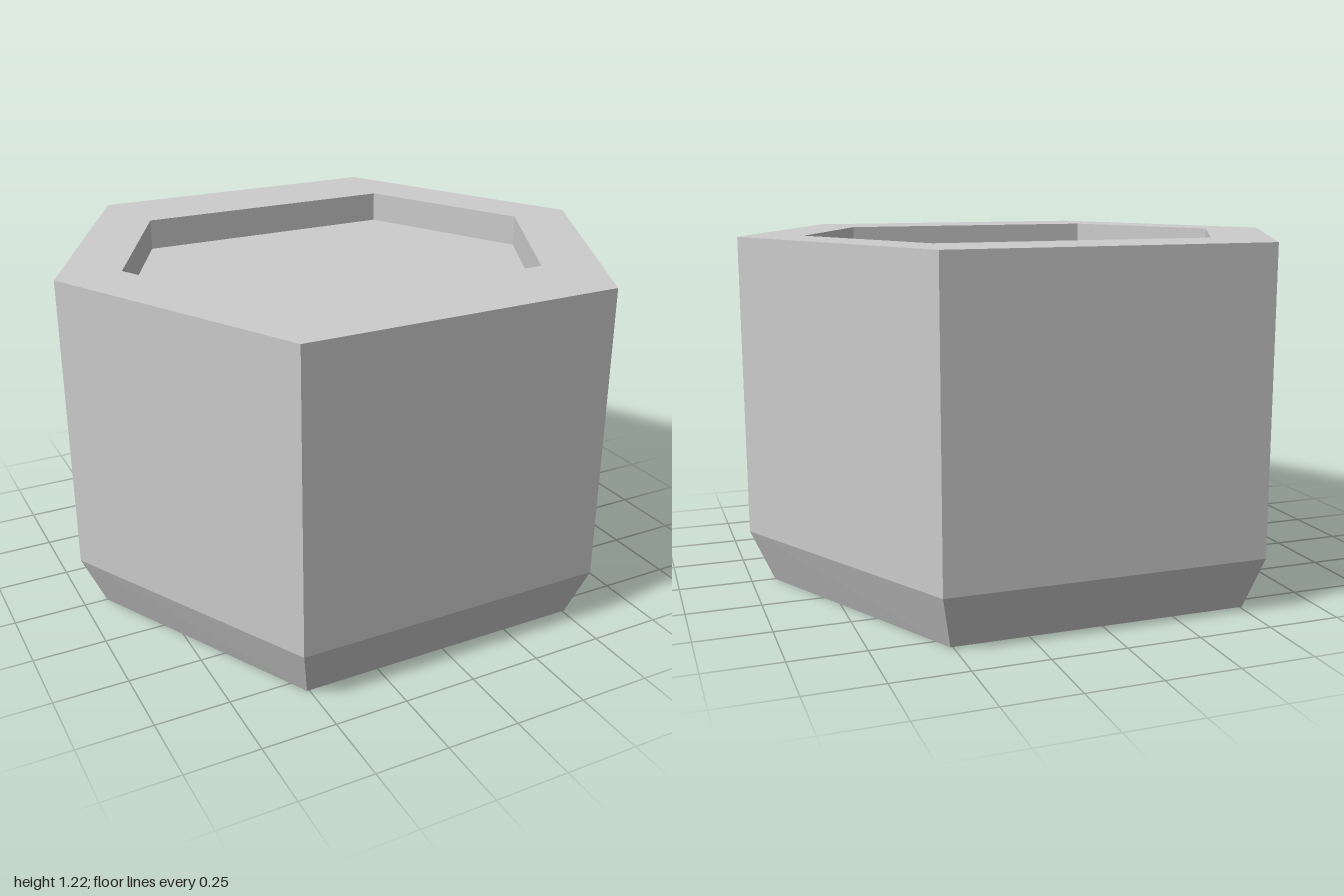
import * as THREE from 'three';

// Hexagon ring at height y: side points at +-a on x, flat edges of half-length b at z = +-d
function hexRing(y, a, b, d) {
  return [[a, 0], [b, d], [-b, d], [-a, 0], [-b, -d], [b, -d]].map(([x, z]) => [x, y, z]);
}

// Flat-faced skin through consecutive rings; a ring of zero size closes the end
function loft(rings) {
  const pos = [];
  const same = (p, q) => p.every((v, k) => v === q[k]);
  const tri = (p, q, r) => {
    if (!same(p, q) && !same(q, r) && !same(r, p)) pos.push(...p, ...q, ...r);
  };
  for (let k = 0; k < rings.length - 1; k++) {
    const lo = rings[k], hi = rings[k + 1];
    for (let i = 0; i < 6; i++) {
      const j = (i + 1) % 6;
      tri(lo[i], hi[i], hi[j]);
      tri(lo[i], hi[j], lo[j]);
    }
  }
  const geo = new THREE.BufferGeometry();
  geo.setAttribute('position', new THREE.Float32BufferAttribute(pos, 3));
  geo.computeVertexNormals();
  return geo;
}

export function createModel() {
  const group = new THREE.Group();
  group.name = 'hexagonalBlock';
  const grey = new THREE.MeshStandardMaterial({ color: 0xcccccc });
  grey.name = 'lightGrey';

  const add = (name, rings) => {
    const mesh = new THREE.Mesh(loft(rings), grey);
    mesh.name = name;
    group.add(mesh);
  };

  const foot = hexRing(0, 0.918, 0.508, 0.81);
  const shoulder = hexRing(0.185, 1, 0.55, 0.88);
  const topEdge = hexRing(1.215, 1, 0.55, 0.88);
  const lip = hexRing(1.215, 0.775, 0.48, 0.575);
  const floorEdge = hexRing(1.105, 0.775, 0.48, 0.575);

  add('base', [hexRing(0, 0, 0, 0), foot, shoulder]); // underside and bevel
  add('walls', [shoulder, topEdge]);
  add('rim', [topEdge, lip]);
  add('recess', [lip, floorEdge, hexRing(1.105, 0, 0, 0)]); // sunken top
  return group;
}
